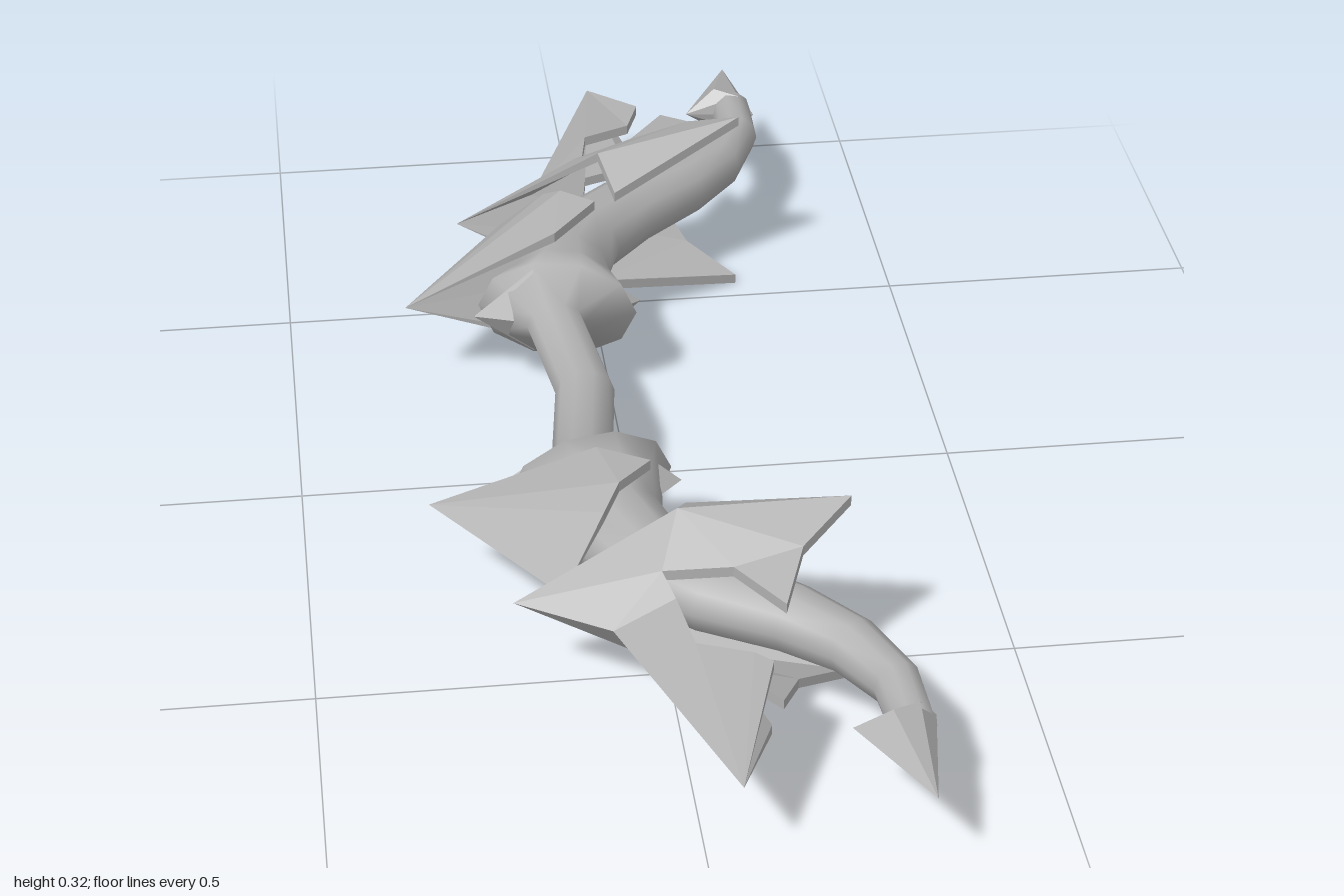
import * as THREE from 'three';
import { ConvexGeometry } from 'three/addons/geometries/ConvexGeometry.js';

const MID = 0.16; // height of the symmetry plane
const steel = new THREE.MeshStandardMaterial({ color: 0xb0b0b0, side: THREE.DoubleSide });
steel.name = 'greySteel';

// Thin faceted plate: points on the outer skin, triangles, mirrored by sy (about MID) and sz
function plate(name, pts, tris, sy, sz, thick = 0.016) {
  const outer = pts.map(p => new THREE.Vector3(...p));
  // the sharp ridge on the symmetry plane stays unthickened
  const inner = outer.map(v => v.clone().setY(v.y > MID + 0.001 ? v.y - thick : v.y));
  const faces = tris.map(([a, b, c]) => {
    const n = outer[b].clone().sub(outer[a]).cross(outer[c].clone().sub(outer[a]));
    return n.y < 0 ? [a, c, b] : [a, b, c];
  });
  const edges = new Set();
  faces.forEach(f => f.forEach((a, i) => edges.add(a + '_' + f[(i + 1) % 3])));
  const soup = [];
  const add = (a, b, c) => {
    for (const v of sy * sz > 0 ? [a, b, c] : [a, c, b]) soup.push(v.x, MID + (v.y - MID) * sy, v.z * sz);
  };
  for (const f of faces) {
    add(outer[f[0]], outer[f[1]], outer[f[2]]);
    add(inner[f[0]], inner[f[2]], inner[f[1]]);
    f.forEach((a, i) => {
      const b = f[(i + 1) % 3];
      if (edges.has(b + '_' + a)) return;
      add(outer[b], outer[a], inner[a]);
      add(outer[b], inner[a], inner[b]);
    });
  }
  const g = new THREE.BufferGeometry();
  g.setAttribute('position', new THREE.Float32BufferAttribute(soup, 3));
  g.computeVertexNormals();
  const m = new THREE.Mesh(g, steel);
  m.name = name;
  return m;
}

// Curved body lofted through elliptical rings [x, z, halfWidth, halfHeight]
function limbBody(half, sides = 10) {
  const rings = [...half.slice(1).reverse().map(([x, z, w, h]) => [x, -z, w, h]), ...half];
  const pos = [], idx = [];
  rings.forEach(([x, z, w, h], i) => {
    const a = rings[Math.max(i - 1, 0)], b = rings[Math.min(i + 1, rings.length - 1)];
    const len = Math.hypot(b[0] - a[0], b[1] - a[1]);
    const dx = (b[0] - a[0]) / len, dz = (b[1] - a[1]) / len;
    for (let k = 0; k < sides; k++) {
      const t = k / sides * Math.PI * 2;
      pos.push(x + Math.cos(t) * w * dz, MID + Math.sin(t) * h, z - Math.cos(t) * w * dx);
      if (i === 0) continue;
      const n = (k + 1) % sides, p = (i - 1) * sides, q = i * sides;
      idx.push(p + k, p + n, q + k, p + n, q + n, q + k);
    }
  });
  const g = new THREE.BufferGeometry();
  g.setAttribute('position', new THREE.Float32BufferAttribute(pos, 3));
  g.setIndex(idx);
  g.computeVertexNormals();
  const m = new THREE.Mesh(g, steel);
  m.name = 'gripAndLimbs';
  return m;
}

export function createModel() {
  const model = new THREE.Group();
  model.name = 'bow';

  // grip, flared collars and curved limbs
  model.add(limbBody([
    [-0.065, 0, 0.045, 0.036], [-0.09, 0.195, 0.045, 0.036], [-0.083, 0.24, 0.125, 0.085],
    [-0.07, 0.29, 0.09, 0.08], [-0.06, 0.36, 0.075, 0.07], [-0.02, 0.45, 0.068, 0.06],
    [0.06, 0.53, 0.062, 0.055], [0.16, 0.6, 0.05, 0.05], [0.23, 0.67, 0.042, 0.043],
    [0.275, 0.76, 0.035, 0.036], [0.28, 0.855, 0.032, 0.033],
  ]));

  // triangular guard plate beside the collar
  const guard = [
    [-0.32, MID, 0.27], [-0.08, 0.262, 0.3], [-0.01, 0.278, 0.365],
    [-0.06, 0.275, 0.41], [-0.085, 0.25, 0.445], [-0.15, MID, 0.51],
  ];
  const guardTris = [[0, 1, 3], [1, 2, 3], [0, 3, 4], [0, 4, 5]];

  // claw plate: forward point, long prong and raised wing around a gap
  const claw = [
    [-0.22, MID, 0.52], [-0.09, MID, 0.6], [0.04, MID, 0.95], [0.105, 0.222, 0.77],
    [0.085, 0.208, 0.73], [0.01, 0.207, 0.7], [-0.005, 0.216, 0.61], [-0.02, 0.238, 0.575],
    [0.075, 0.255, 0.6], [0.135, 0.25, 0.685], [0.17, 0.282, 0.6], [0.245, 0.318, 0.54],
    [0.01, 0.288, 0.5], [0.03, 0.25, 0.435],
  ];
  const clawTris = [
    [0, 1, 7], [0, 7, 12], [1, 6, 7], [1, 5, 6], [1, 2, 5], [2, 4, 5], [2, 3, 4],
    [7, 8, 12], [8, 10, 12], [12, 10, 11], [8, 9, 10], [12, 11, 13],
  ];

  for (const sz of [1, -1]) {
    for (const sy of [1, -1]) {
      model.add(plate('guardPlate', guard, guardTris, sy, sz));
      model.add(plate('clawPlate', claw, clawTris, sy, sz));
    }
    // spikes on both sides of the collar
    for (const [tip, base, tz] of [[-0.215, -0.12, 0.232], [0.05, -0.04, 0.25]]) {
      const spike = new THREE.Mesh(new ConvexGeometry([
        [tip, MID, tz], [base, MID + 0.075, 0.24], [base, MID - 0.075, 0.24],
        [base, MID, 0.2], [base, MID, 0.34],
      ].map(([x, y, z]) => new THREE.Vector3(x, y, z * sz))), steel);
      spike.name = 'collarSpike';
      model.add(spike);
    }
    // barbed limb tip
    const barb = new THREE.Mesh(new ConvexGeometry([
      [0.2, MID, 0.845], [0.25, MID + 0.038, 0.86], [0.25, MID - 0.038, 0.86],
      [0.29, MID + 0.032, 0.84], [0.29, MID - 0.032, 0.84], [0.315, MID, 0.83], [0.285, MID, 1],
    ].map(([x, y, z]) => new THREE.Vector3(x, y, z * sz))), steel);
    barb.name = 'limbTip';
    model.add(barb);
  }
  return model;
}
